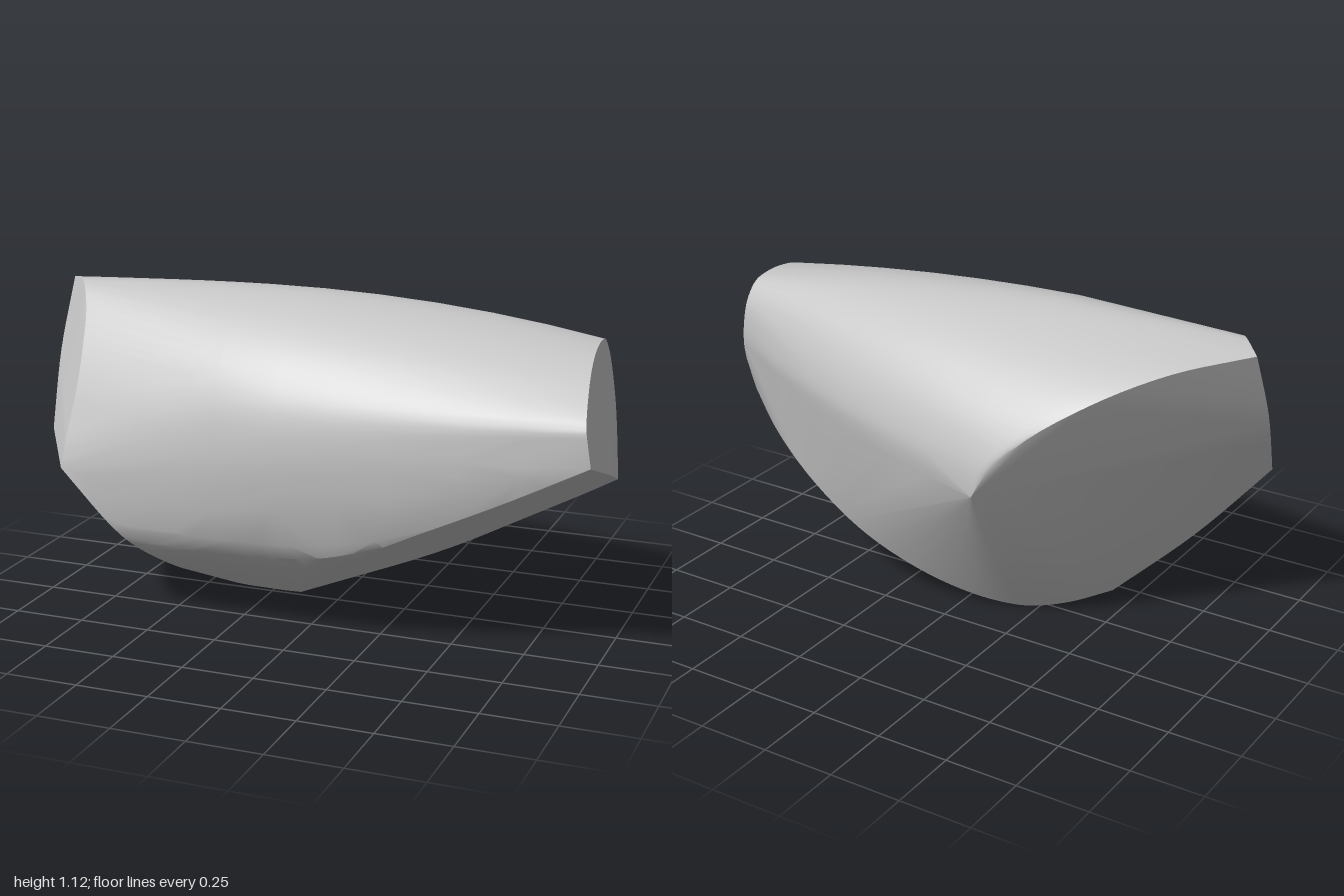
import * as THREE from 'three';
import { toCreasedNormals } from 'three/addons/utils/BufferGeometryUtils.js';
import { ConvexGeometry } from 'three/addons/geometries/ConvexGeometry.js';

const vec = (p) => new THREE.Vector3(...p);

// Smooth curve through a few [x, y, z] points, sampled evenly per segment
function sample(points, perSegment = 5) {
  const curve = new THREE.CatmullRomCurve3(points.map(vec));
  const n = (points.length - 1) * perSegment;
  return Array.from({ length: n + 1 }, (_, i) => curve.getPoint(i / n));
}

// Body section points interpolated between two rows, pushed outward by a bulge
function between(rowA, rowB, t, bulge) {
  return rowA.map((a, i) => {
    const p = a.clone().lerp(rowB[i], t);
    const out = new THREE.Vector3(0, p.y - 0.7, p.z - 0.1).normalize();
    const fullness = (out.z < 0 ? 1 - 0.5 * out.z : 1) - 0.35 * Math.max(out.y, 0);
    return p.addScaledVector(out, 4 * t * (1 - t) * bulge * fullness);
  });
}

export function createModel() {
  const group = new THREE.Group();
  group.name = 'cutStone';
  const stoneGrey = new THREE.MeshStandardMaterial({ color: 0xc6c6c6 });
  stoneGrey.name = 'stoneGrey';

  // Widest section, from the back corner over the top to the front, as [z, y]
  const middle = sample([
    [-0.475, 0.615], [-0.475, 0.71], [-0.42, 0.86], [-0.3, 0.99], [-0.12, 1.085], [0.05, 1.12],
    [0.17, 1.098], [0.28, 1.04], [0.39, 0.93], [0.455, 0.79], [0.478, 0.62], [0.463, 0.44],
  ].map(([z, y]) => [-0.26, y, z]));

  // Outline of the tilted flat end on the left side, as [z, y]
  const endFace = sample([
    [-0.1, 0.7], [-0.125, 0.77], [-0.135, 0.85], [-0.125, 0.94], [-0.08, 1.0], [0, 1.015],
    [0.12, 1.005], [0.22, 0.975], [0.32, 0.92], [0.42, 0.83], [0.42, 0.77], [0.42, 0.71],
  ].map(([z, y]) => [1.064 + 0.077 * z - 0.15 * y, y, z]));

  // Rim of the back cut, then of the slanted front facet, on the right side
  const backRim = sample([
    [-0.26, 0.615, -0.475], [-0.4, 0.805, -0.45], [-0.6, 0.955, -0.345], [-0.8, 1.05, -0.19],
    [-1, 1.09, 0],
  ]);
  const facetRim = sample([
    [-1, 1.09, 0], [-0.9, 1.1, 0.12], [-0.84, 1.02, 0.22], [-0.815, 0.9, 0.305],
    [-0.81, 0.78, 0.365], [-0.82, 0.68, 0.4], [-0.83, 0.6, 0.425], [-0.84, 0.52, 0.44],
  ]);
  const rightRim = [...backRim, ...facetRim.slice(1)];

  // Edges of the flat cuts underneath
  const edges = [
    // back edge of the bottom cut, rounding into the lower edge of the back cut
    [[0.98, 0.55, -0.02], [0.83, 0.45, -0.1], [0.63, 0.33, -0.165], [0.4, 0.2, -0.19],
      [0.2, 0.11, -0.175], [0.03, 0.05, -0.14], [-0.11, 0.015, -0.095], [-0.22, 0, -0.04],
      [-0.34, 0.02, 0.025], [-0.47, 0.07, 0.1]],
    // front edge of the bottom cut
    [[0.99, 0.71, 0.42], [0.7, 0.56, 0.43], [0.32, 0.375, 0.425], [0.16, 0.28, 0.37],
      [0.06, 0.2, 0.28], [-0.03, 0.125, 0.19], [-0.09, 0.06, 0.1], [-0.14, 0.01, 0]],
    // rounding in front of the bottom cut
    [[0.32, 0.375, 0.425], [0.04, 0.25, 0.365], [-0.06, 0.185, 0.295], [-0.12, 0.118, 0.2],
      [-0.16, 0.057, 0.1], [-0.2, 0.008, 0]],
    // edge between the bottom cut and the end face
    [[0.99, 0.71, 0.42], [0.998, 0.63, 0.2], [0.98, 0.55, -0.02]],
    // lower front bend, with a rounding above it
    [[0.32, 0.375, 0.43], [0.12, 0.312, 0.422], [-0.05, 0.285, 0.412], [-0.22, 0.275, 0.408],
      [-0.42, 0.275, 0.408], [-0.63, 0.29, 0.41]],
    [[0.3, 0.4, 0.446], [0.05, 0.35, 0.443], [-0.25, 0.335, 0.44], [-0.61, 0.34, 0.432]],
    // right lower facet
    [[-0.84, 0.52, 0.44], [-0.63, 0.29, 0.41], [-0.53, 0.145, 0.24], [-0.47, 0.07, 0.1]],
    [[-0.97, 0.6, 0.25], [-0.73, 0.32, 0.19], [-0.47, 0.07, 0.1]],
    // right edge of the back cut
    [[-1, 1.09, 0], [-1, 0.85, 0.12], [-0.97, 0.6, 0.25]],
  ].map((points) => sample(points, 6)).flat();

  const points = [...middle, ...endFace, ...rightRim, ...edges];
  for (const t of [0.17, 0.33, 0.5, 0.67, 0.83]) {
    points.push(...between(middle, endFace, t, 0.032));
    points.push(...between(middle, rightRim, t, 0.006));
  }

  // The stone is convex, so its skin is the hull of its edges and sections
  const skin = toCreasedNormals(new ConvexGeometry(points), 0.4);
  const body = new THREE.Mesh(skin, stoneGrey);
  body.name = 'stoneBody';
  group.add(body);
  return group;
}
